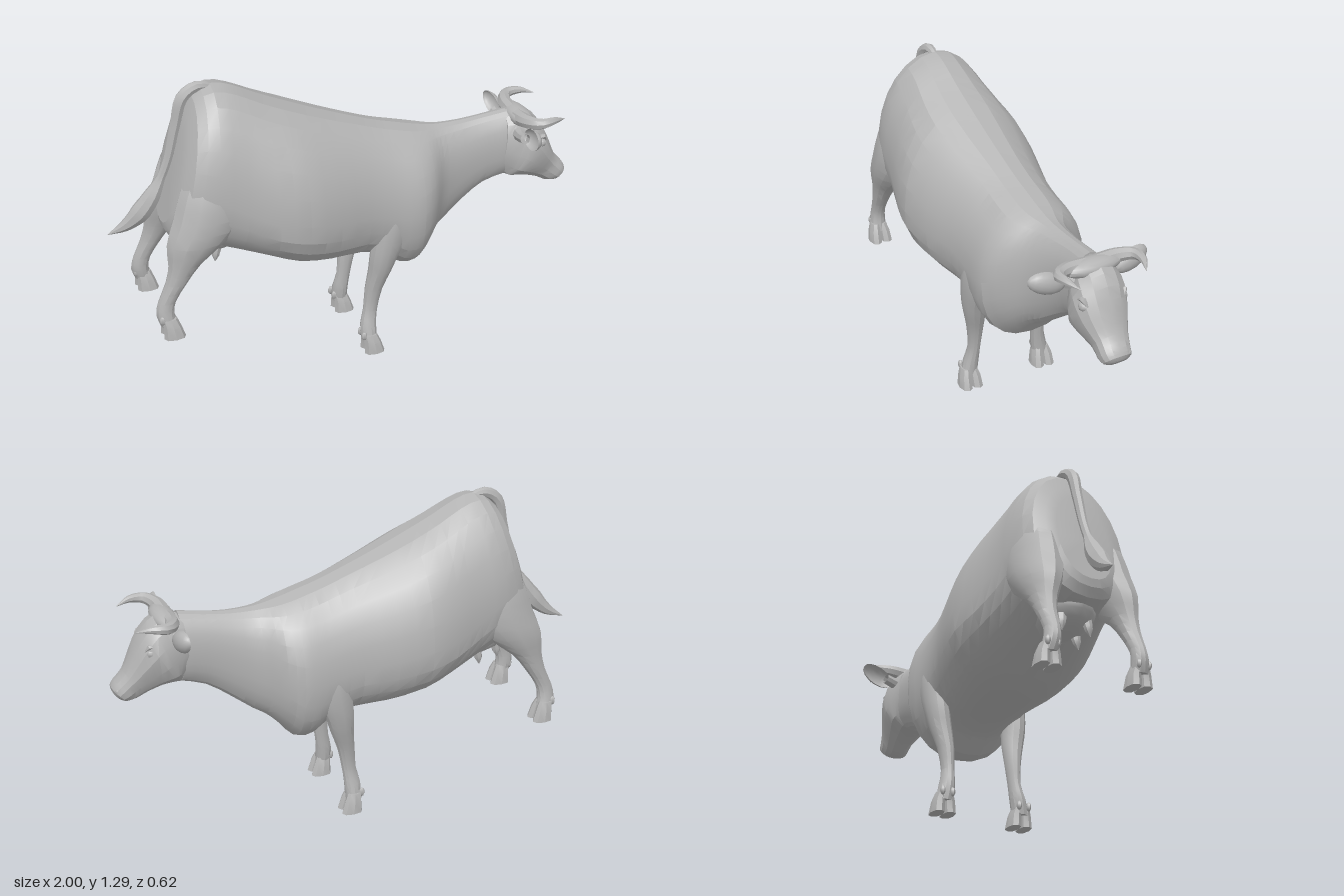
import * as THREE from 'three';
import { toCreasedNormals } from 'three/addons/utils/BufferGeometryUtils.js';

const hide = new THREE.MeshStandardMaterial({ color: 0xb4b4b4, side: THREE.DoubleSide });
hide.name = 'grey hide';
const HEAD_Z = 0.035; // the head is turned slightly to one side

function add(parent, name, geometry, crease = 0.4) {
  const mesh = new THREE.Mesh(toCreasedNormals(geometry, crease), hide);
  mesh.name = name;
  parent.add(mesh);
  return mesh;
}

// Smoothly interpolates a list of rings, column by column
function refine(rings, steps) {
  const out = [];
  const at = i => rings[Math.min(Math.max(i, 0), rings.length - 1)];
  for (let i = 0; i < rings.length - 1; i++) {
    for (let s = 0; s < steps; s++) {
      const t = s / steps;
      out.push(rings[i].map((p1, k) => {
        const p0 = at(i - 1)[k], p2 = at(i + 1)[k], p3 = at(i + 2)[k];
        return p1 + 0.5 * t * (p2 - p0 + t * (2 * p0 - 5 * p1 + 4 * p2 - p3 + t * (3 * (p1 - p2) + p3 - p0)));
      }));
    }
  }
  out.push(rings[rings.length - 1]);
  return out;
}

// Closed skin over rings [x, y, z, up, down, halfWidth, tilt in degrees];
// a power below 1 makes the upper or lower half squarer
function loft(controlRings, sides, steps = 2, upPower = 1, downPower = upPower) {
  const rings = refine(controlRings, steps), pos = [], idx = [];
  const bulge = (v, p) => Math.sign(v) * Math.abs(v) ** p;
  for (const [x, y, z, up, down, half, tilt] of rings) {
    const t = tilt * Math.PI / 180;
    for (let j = 0; j < sides; j++) {
      const a = j / sides * Math.PI * 2, c = Math.cos(a), p = c > 0 ? upPower : downPower;
      const r = bulge(c, p) * (c > 0 ? up : down);
      pos.push(x - Math.sin(t) * r, y + Math.cos(t) * r, z + bulge(Math.sin(a), p) * half);
    }
  }
  const last = (rings.length - 1) * sides, tip = rings.length * sides;
  for (const ring of [rings[0], rings[rings.length - 1]]) pos.push(ring[0], ring[1], ring[2]);
  for (let j = 0; j < sides; j++) {
    const k = (j + 1) % sides;
    for (let i = 0; i < rings.length - 1; i++) {
      const a = i * sides + j, b = i * sides + k;
      idx.push(a, b, a + sides, b, b + sides, a + sides);
    }
    idx.push(tip, k, j, tip + 1, last + j, last + k);
  }
  // Turn the skin outward if its signed volume is negative
  const v = i => new THREE.Vector3().fromArray(pos, i * 3);
  let volume = 0;
  for (let i = 0; i < idx.length; i += 3) volume += v(idx[i]).dot(v(idx[i + 1]).cross(v(idx[i + 2])));
  if (volume < 0) idx.reverse();
  const g = new THREE.BufferGeometry();
  g.setAttribute('position', new THREE.Float32BufferAttribute(pos, 3));
  g.setIndex(idx);
  return g;
}

// Tube whose radius follows a list of values along its length
function taper(points, radii, segments, sides) {
  const curve = new THREE.CatmullRomCurve3(points.map(p => new THREE.Vector3(...p)));
  const g = new THREE.TubeGeometry(curve, segments, 1, sides);
  const p = g.attributes.position, v = new THREE.Vector3();
  for (let i = 0; i < p.count; i++) {
    const t = Math.floor(i / (sides + 1)) / segments, c = curve.getPointAt(t);
    const f = t * (radii.length - 1), n = Math.min(Math.floor(f), radii.length - 2);
    const r = THREE.MathUtils.lerp(radii[n], radii[n + 1], f - n);
    v.fromBufferAttribute(p, i).sub(c).multiplyScalar(r).add(c);
    p.setXYZ(i, v.x, v.y, v.z);
  }
  return g;
}

function ball(parent, name, [x, y, z], [sx, sy, sz], detail = 10) {
  const g = new THREE.SphereGeometry(1, detail, Math.ceil(detail * 0.7));
  g.scale(sx, sy, sz).translate(x, y, z);
  return add(parent, name, g, 0.7);
}

// Leg from rings [x, y, z, front, back, halfWidth], ending in a cloven hoof
function leg(parent, name, side, rings, drift, top) {
  const group = new THREE.Group();
  group.name = name;
  parent.add(group);
  const zAt = (y, z) => side * (z + drift * Math.max(0, top - y));
  add(group, name + 'Limb', loft(rings.map(([x, y, z, f, b, h]) => [x, y, zAt(y, z), f, b, h, -90]), 12), 0.5);
  const [x, y, z] = rings[rings.length - 1], foot = zAt(y, z);
  for (const s of [-1, 1]) {
    const zc = foot + s * 0.022;
    add(group, 'hoofClaw', loft([
      [x, y + 0.035, zc - s * 0.006, 0.026, 0.035, 0.018, -90],
      [x + 0.006, y, zc, 0.036, 0.036, 0.024, -90],
      [x + 0.014, y - 0.05, zc + s * 0.003, 0.044, 0.046, 0.026, -90],
    ], 8, 1, 0.85));
    ball(group, 'dewClaw', [x - 0.033, y + 0.035, zc], [0.013, 0.02, 0.011], 6);
  }
}

export function createModel() {
  const cow = new THREE.Group();
  cow.name = 'cow';

  // Trunk and neck
  add(cow, 'body', loft([
    [-0.745, 0.91, 0, 0.22, 0.20, 0.12, -14],
    [-0.71, 0.91, 0, 0.335, 0.27, 0.205, -12],
    [-0.62, 0.88, 0, 0.40, 0.26, 0.245, -8],
    [-0.50, 0.81, 0, 0.445, 0.24, 0.262, -3],
    [-0.38, 0.75, 0, 0.455, 0.23, 0.292, 0],
    [-0.26, 0.73, 0, 0.42, 0.26, 0.31, 0],
    [-0.12, 0.70, 0, 0.39, 0.255, 0.285, 0],
    [0.02, 0.68, 0, 0.355, 0.245, 0.248, 0],
    [0.13, 0.65, 0, 0.345, 0.25, 0.238, 0],
    [0.20, 0.63, 0, 0.345, 0.285, 0.24, 0],
    [0.27, 0.64, 0, 0.315, 0.30, 0.235, 0],
    [0.33, 0.67, 0, 0.27, 0.265, 0.20, 0],
    [0.38, 0.70, 0, 0.23, 0.25, 0.145, 0],
    [0.43, 0.715, 0, 0.21, 0.235, 0.11, 0],
    [0.52, 0.75, 0, 0.175, 0.20, 0.085, 0],
    [0.62, 0.785, 0.005, 0.15, 0.165, 0.075, 0],
    [0.72, 0.80, 0.015, 0.15, 0.15, 0.078, 0],
  ], 24, 2, 0.98, 0.86), 0.3);

  // Head from poll to muzzle
  add(cow, 'head', loft([
    [0.70, 0.82, 0.015, 0.12, 0.14, 0.08, -5],
    [0.76, 0.81, 0.025, 0.145, 0.165, 0.105, -15],
    [0.81, 0.78, 0.03, 0.12, 0.15, 0.115, -30],
    [0.86, 0.73, HEAD_Z, 0.085, 0.11, 0.098, -38],
    [0.91, 0.68, HEAD_Z, 0.055, 0.08, 0.073, -42],
    [0.945, 0.645, 0.04, 0.052, 0.065, 0.066, -45],
    [0.968, 0.625, 0.04, 0.043, 0.045, 0.058, -45],
    [0.977, 0.616, 0.04, 0.022, 0.025, 0.034, -45],
  ], 14, 2, 0.9), 0.4);
  // Broad poll joining the horns
  ball(cow, 'poll', [0.77, 0.925, HEAD_Z], [0.05, 0.036, 0.125], 12);

  for (const s of [-1, 1]) {
    const side = s > 0 ? 'left' : 'right';
    const z = d => HEAD_Z + s * d;
    // Horn sweeping out and then forward
    add(cow, side + 'Horn', taper([
      [0.76, 0.925, z(0.03)], [0.765, 0.936, z(0.11)], [0.80, 0.945, z(0.165)],
      [0.86, 0.95, z(0.165)], [0.92, 0.938, z(0.14)],
    ], [0.036, 0.03, 0.024, 0.016, 0.001], 14, 8), 0.6);
    // Cupped ear opening forward, its tip a little raised
    const ear = new THREE.SphereGeometry(1, 8, 8, Math.PI / 2, Math.PI);
    ear.scale(0.035, 0.08, 0.046);
    ear.rotateX(s * 1.25).rotateY(s * -0.1).translate(0.745, 0.89, z(0.185));
    add(cow, side + 'Ear', ear, 0.7);
    add(cow, side + 'EarBase', taper([
      [0.75, 0.865, z(0.07)], [0.74, 0.87, z(0.11)], [0.735, 0.88, z(0.15)],
    ], [0.03, 0.024, 0.022], 4, 8), 0.6);
    // Eye under a brow, and nostril
    ball(cow, side + 'Eye', [0.848, 0.815, z(0.087)], [0.022, 0.02, 0.018], 8);
    add(cow, side + 'Brow', taper([
      [0.825, 0.835, z(0.094)], [0.85, 0.845, z(0.09)], [0.872, 0.82, z(0.08)],
    ], [0.003, 0.012, 0.003], 6, 6), 0.6);
    ball(cow, side + 'Nostril', [0.978, 0.648, z(0.033)], [0.013, 0.014, 0.014], 8);

    leg(cow, side + 'FrontLeg', s, [
      [0.14, 0.72, 0.18, 0.07, 0.06, 0.04],
      [0.13, 0.62, 0.187, 0.08, 0.07, 0.05],
      [0.115, 0.53, 0.185, 0.085, 0.065, 0.052],
      [0.10, 0.45, 0.18, 0.065, 0.058, 0.049],
      [0.09, 0.38, 0.17, 0.05, 0.05, 0.045],
      [0.07, 0.29, 0.158, 0.036, 0.04, 0.034],
      [0.055, 0.19, 0.156, 0.03, 0.032, 0.026],
      [0.045, 0.12, 0.165, 0.032, 0.038, 0.033],
      [0.045, 0.05, 0.177, 0.03, 0.035, 0.036],
    ], 0, 0);
    leg(cow, side + 'HindLeg', s, [
      [-0.60, 1.02, 0.13, 0.09, 0.08, 0.07],
      [-0.61, 0.90, 0.148, 0.15, 0.135, 0.092],
      [-0.635, 0.79, 0.155, 0.17, 0.145, 0.10],
      [-0.69, 0.69, 0.165, 0.13, 0.125, 0.082],
      [-0.745, 0.60, 0.17, 0.068, 0.07, 0.053],
      [-0.785, 0.52, 0.17, 0.043, 0.047, 0.038],
      [-0.828, 0.44, 0.167, 0.035, 0.038, 0.03],
      [-0.838, 0.385, 0.167, 0.036, 0.038, 0.034],
      [-0.825, 0.335, 0.17, 0.032, 0.036, 0.036],
    ], s > 0 ? 0.02 : 0.11, 0.8);
    // Teats
    for (const [x, y] of [[-0.67, 0.585], [-0.585, 0.565]]) {
      add(cow, 'teat', taper([[x + 0.01, y + 0.03, s * 0.055], [x, y - 0.01, s * 0.06], [x - 0.006, y - 0.05, s * 0.064]],
        [0.024, 0.02, 0.016, 0.002], 6, 7), 0.6);
    }
  }

  // Udder
  ball(cow, 'udder', [-0.575, 0.65, 0], [0.16, 0.095, 0.125], 14);

  // Tail with its tuft
  add(cow, 'tail', taper([
    [-0.54, 1.25, 0], [-0.61, 1.272, 0], [-0.675, 1.235, 0], [-0.71, 1.12, 0], [-0.75, 0.97, 0],
    [-0.81, 0.84, -0.005], [-0.87, 0.755, -0.015], [-0.93, 0.70, -0.03], [-1.0, 0.665, -0.045],
  ], [0.012, 0.022, 0.026, 0.022, 0.02, 0.018, 0.018, 0.036, 0.042, 0.025, 0.001], 32, 8), 0.6);

  return cow;
}
